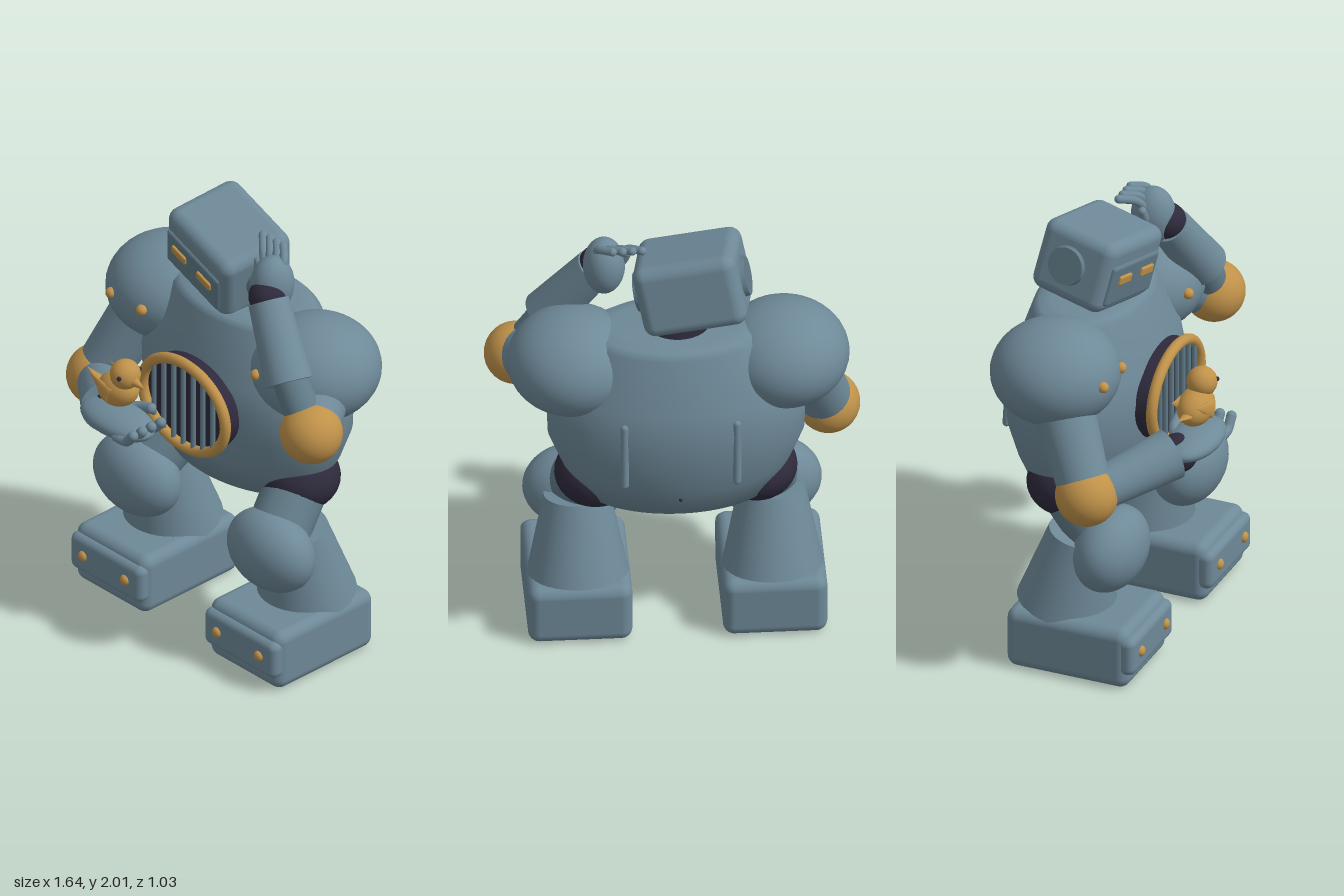
import * as THREE from 'three';
import { RoundedBoxGeometry } from 'three/addons/geometries/RoundedBoxGeometry.js';

const paint = (name, color) => {
  const m = new THREE.MeshStandardMaterial({ color });
  m.name = name;
  return m;
};

export function createModel() {
  const steel = paint('steel blue', 0x6e8998);
  const shade = paint('dark steel', 0x617b88);
  const gold = paint('brass', 0xc0924a);
  const dark = paint('dark joint', 0x2e2a3c);
  const root = new THREE.Group();
  root.name = 'robot';

  const V = (p) => new THREE.Vector3(...p);
  const add = (parent, name, geo, mat, p = [0, 0, 0]) => {
    const m = new THREE.Mesh(geo, mat);
    m.name = name;
    m.position.set(...p);
    parent.add(m);
    return m;
  };
  const ball = (parent, name, mat, p, rx, ry = rx, rz = rx) => {
    const m = add(parent, name, new THREE.SphereGeometry(1, 36, 24), mat, p);
    m.scale.set(rx, ry, rz);
    return m;
  };
  // Tapered cylinder from a to b
  const limb = (parent, name, mat, a, b, ra, rb, sides = 36) => {
    const d = V(b).sub(V(a));
    const m = add(parent, name, new THREE.CylinderGeometry(rb, ra, d.length(), sides), mat);
    m.position.copy(V(a)).addScaledVector(d, 0.5);
    m.quaternion.setFromUnitVectors(new THREE.Vector3(0, 1, 0), d.normalize());
    return m;
  };
  // Bent finger with a rounded tip
  const finger = (parent, name, points, r) => {
    const curve = new THREE.CatmullRomCurve3(points.map(V));
    add(parent, name, new THREE.TubeGeometry(curve, 12, r, 10), steel);
    ball(parent, name + 'Tip', steel, points[points.length - 1], r);
  };
  const part = (name) => {
    const g = new THREE.Group();
    g.name = name;
    root.add(g);
    return g;
  };

  // Torso: barrel flattened front to back
  const body = part('body');
  const profile = [[0, 0.76], [0.42, 0.76], [0.5, 0.9], [0.56, 1.05], [0.565, 1.2], [0.535, 1.32],
    [0.4, 1.565], [0.36, 1.59], [0.28, 1.602], [0, 1.605]].map((p) => new THREE.Vector2(...p));
  add(body, 'torso', new THREE.LatheGeometry(profile, 64), steel, [0, 0, -0.17]).scale.z = 0.612;
  limb(body, 'neck', dark, [0, 1.55, -0.17], [-0.05, 1.7, -0.15], 0.14, 0.12);

  // Chest grille
  const grille = part('chestGrille');
  const disc = add(grille, 'grillePanel', new THREE.CylinderGeometry(1, 1, 0.12, 48), dark, [0, 1.165, 0.13]);
  disc.rotation.x = Math.PI / 2;
  disc.scale.set(0.268, 1, 0.215);
  const oval = [];
  for (let i = 0; i < 24; i++) {
    const a = (i / 24) * Math.PI * 2;
    oval.push(new THREE.Vector3(0.262 * Math.cos(a), 1.165 + 0.212 * Math.sin(a), 0.21));
  }
  add(grille, 'grilleRing', new THREE.TubeGeometry(new THREE.CatmullRomCurve3(oval, true), 72, 0.025, 12, true), gold);
  for (let i = -3; i <= 3; i++) {
    const x = i * 0.062;
    const h = 0.205 * Math.sqrt(1 - (x / 0.262) ** 2);
    limb(grille, 'grilleBar', shade, [x, 1.165 - h, 0.215], [x, 1.165 + h, 0.215], 0.012, 0.012, 10);
  }

  // Back ribs and rivet
  for (const s of [-1, 1]) {
    add(body, 'backRib', new THREE.CapsuleGeometry(0.018, 0.29, 4, 12), steel, [s * 0.245, 1.115, -0.478]).rotation.x = 0.06;
  }
  ball(body, 'backRivet', dark, [0, 0.86, -0.465], 0.008);

  // Head: tilted rounded box with a face plate
  const head = part('head');
  head.position.set(-0.075, 1.79, -0.13);
  head.rotation.set(0.16, -0.16, -0.2);
  add(head, 'skull', new RoundedBoxGeometry(0.46, 0.335, 0.37, 5, 0.055), steel);
  add(head, 'facePlate', new RoundedBoxGeometry(0.385, 0.19, 0.04, 3, 0.016), shade, [-0.005, -0.025, 0.178]);
  for (const s of [-1, 1]) {
    add(head, 'eye', new RoundedBoxGeometry(0.1, 0.042, 0.02, 2, 0.008), gold, [s * 0.093, 0, 0.2]);
    limb(head, 'ear', shade, [s * 0.21, 0, -0.02], [s * 0.25, 0, -0.02], 0.095, 0.085);
  }

  // Legs and feet
  for (const s of [-1, 1]) {
    const leg = part(s < 0 ? 'rightLeg' : 'leftLeg');
    const x = s * 0.425;
    ball(leg, 'hip', dark, [s * 0.35, 0.81, -0.15], 0.18, 0.15, 0.18);
    limb(leg, 'thigh', shade, [s * 0.36, 0.8, -0.14], [x, 0.57, 0.09], 0.14, 0.14);
    ball(leg, 'knee', steel, [x, 0.565, 0.09], 0.228, 0.19, 0.155).rotation.x = 0.15;
    limb(leg, 'shin', steel, [x, 0.26, -0.12], [x, 0.62, -0.05], 0.222, 0.145);
    add(leg, 'foot', new RoundedBoxGeometry(0.455, 0.285, 0.58, 5, 0.05), steel, [x, 0.1425, -0.03]);
    add(leg, 'toeBumper', new RoundedBoxGeometry(0.45, 0.18, 0.08, 4, 0.035), steel, [x, 0.16, 0.25]);
    for (const k of [-1, 1]) ball(leg, 'toeRivet', gold, [x + k * 0.133, 0.165, 0.288], 0.025, 0.025, 0.02);
  }

  // Shoulders and upper arms
  const elbows = { '-1': [-0.682, 0.957, 0.085], '1': [0.682, 1.285, 0.092] };
  const arms = {};
  for (const s of [-1, 1]) {
    const arm = (arms[s] = part(s < 0 ? 'rightArm' : 'leftArm'));
    const x = s * 0.46;
    ball(arm, 'shoulder', steel, [x - 0.01, 1.415, -0.155], 0.287, 0.23, 0.287);
    for (const k of [-1, 1]) ball(arm, 'shoulderRivet', gold, [x - 0.01 + k * 0.097, 1.44, 0.113], 0.025);
    limb(arm, 'upperArm', steel, [s * 0.53, s < 0 ? 1.38 : 1.4, -0.12], elbows[s], 0.14, 0.115);
    ball(arm, 'elbow', gold, elbows[s], 0.138);
  }

  // Right forearm, held out with the palm up
  const right = arms[-1];
  limb(right, 'forearm', steel, [-0.62, 0.972, 0.135], [-0.35, 1.05, 0.34], 0.095, 0.115);
  ball(right, 'wrist', dark, [-0.32, 1.045, 0.36], 0.088);
  ball(right, 'palm', steel, [-0.22, 1.075, 0.4], 0.205, 0.06, 0.115);
  for (let i = 0; i < 4; i++) {
    const z = 0.322 + i * 0.055;
    finger(right, 'finger', [[-0.14, 1.06, z], [-0.07, 1.065, z], [-0.03, 1.11, z]], 0.023);
  }
  finger(right, 'thumb', [[-0.27, 1.08, 0.33], [-0.2, 1.1, 0.29], [-0.13, 1.12, 0.285]], 0.024);

  // Left forearm, raised with the hand touching the head
  const left = arms[1];
  limb(left, 'forearm', shade, elbows[1], [0.5, 1.55, 0.08], 0.085, 0.08);
  limb(left, 'forearmSleeve', steel, [0.55, 1.485, 0.1], [0.34, 1.775, 0.025], 0.108, 0.09);
  ball(left, 'wrist', dark, [0.33, 1.795, 0.025], 0.082);
  ball(left, 'palm', steel, [0.305, 1.825, -0.03], 0.092, 0.135, 0.1);
  for (let i = 0; i < 4; i++) {
    const x = 0.145 + i * 0.043;
    finger(left, 'finger', [[0.26 + i * 0.025, 1.86, -0.03], [x + 0.06, 1.935, -0.07], [x, 1.962, -0.125]], 0.019);
  }
  finger(left, 'thumb', [[0.26, 1.8, -0.01], [0.22, 1.85, -0.03], [0.205, 1.89, -0.04]], 0.019);

  // Small bird perched on the palm
  const bird = part('bird');
  ball(bird, 'birdBody', gold, [-0.215, 1.235, 0.4], 0.105, 0.08, 0.08).rotation.z = 0.25;
  ball(bird, 'birdHead', gold, [-0.165, 1.333, 0.406], 0.068);
  limb(bird, 'beak', gold, [-0.115, 1.32, 0.406], [-0.045, 1.31, 0.406], 0.026, 0.001, 14);
  limb(bird, 'tail', gold, [-0.28, 1.22, 0.4], [-0.41, 1.255, 0.4], 0.035, 0.001, 12).scale.x = 0.45;
  for (const s of [-1, 1]) {
    ball(bird, 'birdEye', dark, [-0.14, 1.345, 0.406 + s * 0.06], 0.011);
    limb(bird, 'wing', gold, [-0.2, 1.23, 0.4 + s * 0.07], [-0.34, 1.295, 0.4 + s * 0.06], 0.045, 0.001, 14).scale.z = 0.35;
  }
  return root;
}
